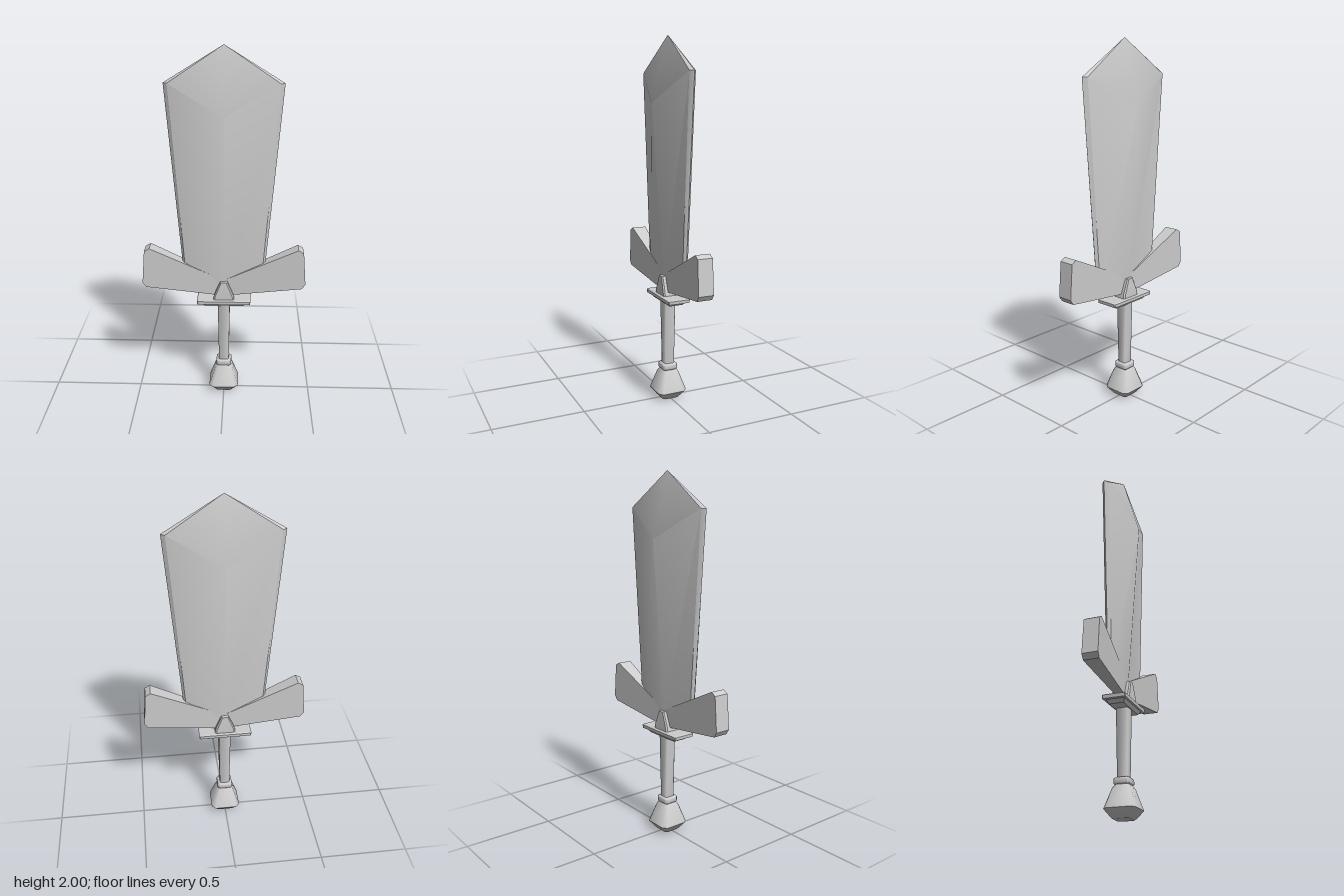
import * as THREE from 'three';
import { toCreasedNormals } from 'three/addons/utils/BufferGeometryUtils.js';

const steel = new THREE.MeshStandardMaterial({ color: 0xcccccc });

function mesh(name, geometry) {
  const m = new THREE.Mesh(geometry, steel);
  m.name = name;
  return m;
}

// Skin a stack of rings (bottom to top, each running from +x towards +z), capped at both ends.
function loft(rings, crease) {
  const pos = [];
  const n = rings[0].length;
  const tri = (a, b, c) => {
    const area = new THREE.Triangle(...[a, b, c].map(p => new THREE.Vector3(...p))).getArea();
    if (area > 1e-8) pos.push(...a, ...b, ...c);
  };
  for (let i = 0; i < rings.length - 1; i++) {
    for (let j = 0; j < n; j++) {
      const k = (j + 1) % n;
      const [lo, hi] = [rings[i], rings[i + 1]];
      tri(lo[j], hi[j], lo[k]);
      tri(lo[k], hi[j], hi[k]);
    }
  }
  const bottom = rings[0], top = rings[rings.length - 1];
  for (let j = 1; j < n - 1; j++) {
    tri(bottom[0], bottom[j], bottom[j + 1]);
    tri(top[0], top[j + 1], top[j]);
  }
  const g = new THREE.BufferGeometry();
  g.setAttribute('position', new THREE.Float32BufferAttribute(pos, 3));
  return toCreasedNormals(g, crease);
}

// Rectangle ring with half sizes x, z and cut corners of size c
const rect = (y, x, z, c) => [
  [x, y, z - c], [x - c, y, z], [c - x, y, z], [-x, y, z - c],
  [-x, y, c - z], [c - x, y, -z], [x - c, y, -z], [x, y, c - z],
];

// Blade ring: cutting edge e, bevel corner (b, t), middle ridge of depth d at its own height
const bladeRing = (y, e, b, t, ridgeY, d) => [
  [e, y, 0], [b, y, t], [0, ridgeY, d], [-b, y, t],
  [-e, y, 0], [-b, y, -t], [0, ridgeY, -d], [b, y, -t],
];

// Flared guard wing, growing thicker away from the blade
function wing(side) {
  const outline = [[0, 0.625], [0.06, 0.627], [0.435, 0.677], [0.454, 0.705], [0.439, 0.893], [0.41, 0.91], [0, 0.715]];
  const shape = new THREE.Shape(outline.map(([x, y]) => new THREE.Vector2(x, y)));
  const g = new THREE.ExtrudeGeometry(shape, { depth: 2, bevelEnabled: false });
  g.translate(0, 0, -1);
  const p = g.attributes.position;
  for (let i = 0; i < p.count; i++) {
    p.setZ(i, p.getZ(i) * (0.022 + 0.046 * p.getX(i)));
  }
  if (side < 0) g.rotateY(Math.PI);
  g.computeVertexNormals();
  return g;
}

export function createModel() {
  const model = new THREE.Group();
  model.name = 'sword';

  // Blade widening to the shoulders, then a broad point
  model.add(mesh('blade', loft([
    bladeRing(0.67, 0.219, 0.207, 0.014, 0.67, 0.023),
    bladeRing(1.81, 0.31, 0.288, 0.018, 1.65, 0.095),
    bladeRing(2, 0, 0, 0, 2, 0),
  ], 0.56)));

  // Guard
  model.add(mesh('leftGuardWing', wing(1)));
  model.add(mesh('rightGuardWing', wing(-1)));
  model.add(mesh('guardBlock', loft([
    rect(0.6, 0.058, 0.05, 0.008),
    rect(0.625, 0.056, 0.05, 0.008),
    rect(0.71, 0.02, 0.045, 0.006),
  ], 0.5)));
  model.add(mesh('guardPlate', loft([
    rect(0.582, 0.148, 0.063, 0.004),
    rect(0.6, 0.15, 0.064, 0.004),
    rect(0.605, 0.144, 0.058, 0.004),
  ], 0.5)));
  model.add(mesh('guardUnderside', loft([
    rect(0.563, 0.11, 0.04, 0.004),
    rect(0.584, 0.128, 0.052, 0.004),
  ], 0.5)));

  // Handle
  model.add(mesh('grip', loft([
    rect(0.19, 0.028, 0.028, 0.007),
    rect(0.57, 0.034, 0.034, 0.008),
  ], 0.9)));
  model.add(mesh('collar', loft([
    rect(0.165, 0.036, 0.036, 0.008),
    rect(0.173, 0.043, 0.043, 0.01),
    rect(0.196, 0.043, 0.043, 0.01),
    rect(0.203, 0.037, 0.037, 0.008),
  ], 0.9)));
  model.add(mesh('pommel', loft([
    rect(0, 0.045, 0.045, 0.012),
    rect(0.006, 0.052, 0.052, 0.014),
    rect(0.047, 0.084, 0.084, 0.022),
    rect(0.15, 0.05, 0.05, 0.014),
    rect(0.17, 0.036, 0.036, 0.01),
  ], 0.9)));

  return model;
}
